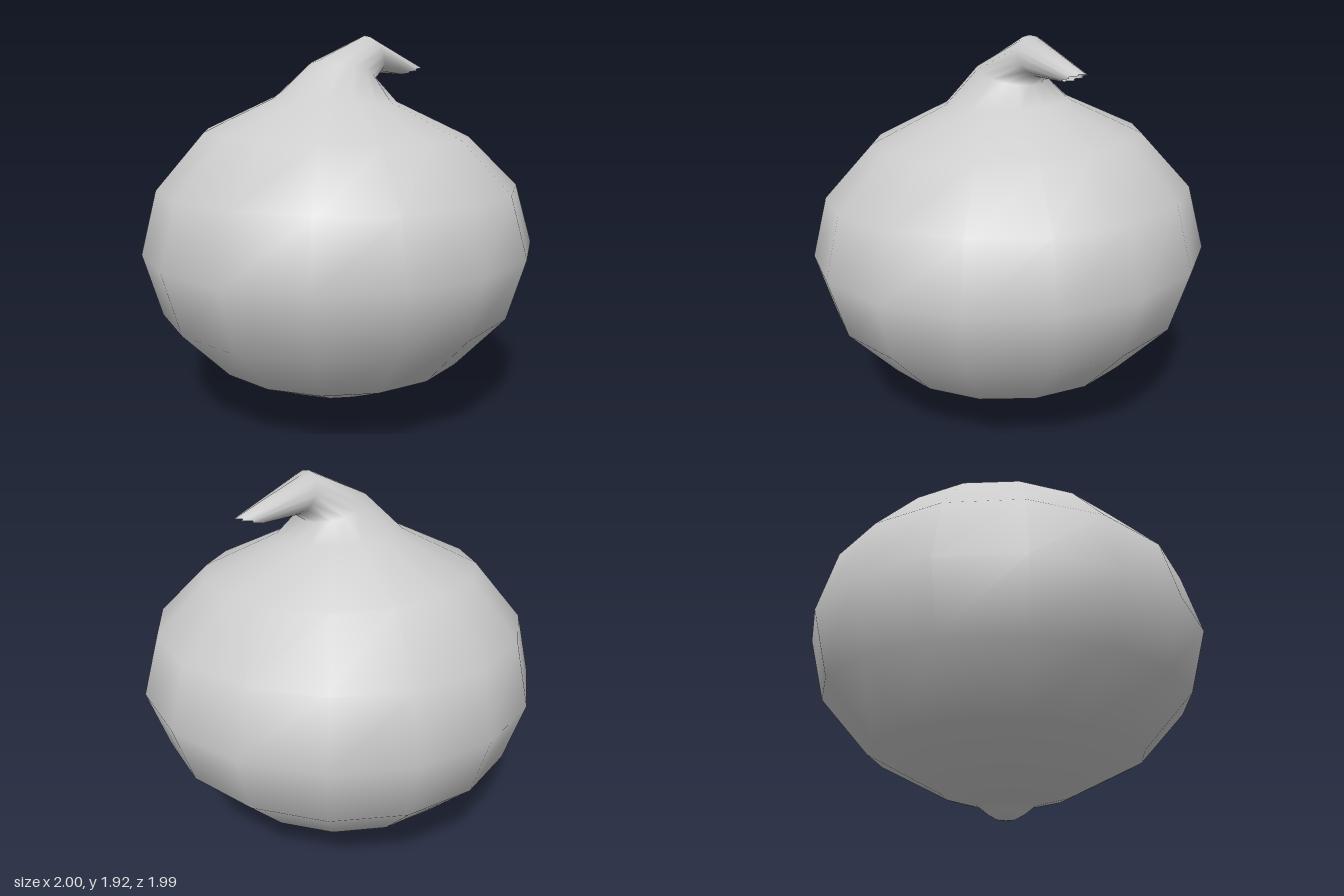
import * as THREE from 'three';

const SIDES = 16;
const material = new THREE.MeshStandardMaterial({ color: 0xcccccc, side: THREE.DoubleSide });

// Smooth skin lofted through tilted elliptical rings.
// Ring: [xLeft, yLeft, xRight, yRight, half depth in z, y drop towards +z, jag length]
function loft(rings) {
  const positions = [];
  const index = [];
  for (const [xl, yl, xr, yr, depth, drop = 0, jag = 0] of rings) {
    for (let j = 0; j < SIDES; j++) {
      const a = (j / SIDES) * Math.PI * 2;
      const c = Math.cos(a), s = Math.sin(a);
      positions.push(
        (xl + xr) / 2 + ((xr - xl) / 2) * c - (j % 2 ? jag : 0),
        (yl + yr) / 2 + ((yr - yl) / 2) * c - drop * s,
        depth * s
      );
    }
  }
  for (let i = 0; i < rings.length - 1; i++) {
    for (let j = 0; j < SIDES; j++) {
      const k = (j + 1) % SIDES;
      const a = i * SIDES + j, b = i * SIDES + k;
      const c = a + SIDES, d = b + SIDES;
      index.push(a, c, b, b, c, d);
    }
  }
  // close the root end
  const pole = positions.length / 3;
  positions.push(0, 0, 0);
  for (let j = 0; j < SIDES; j++) index.push(pole, j, (j + 1) % SIDES);

  const geometry = new THREE.BufferGeometry();
  geometry.setAttribute('position', new THREE.Float32BufferAttribute(positions, 3));
  geometry.setIndex(index);
  geometry.computeVertexNormals();
  return geometry;
}

export function createModel() {
  const group = new THREE.Group();
  group.name = 'onion';

  const rings = [
    // root nub
    [-0.05, 0.008, 0.05, 0.008, 0.05],
    [-0.09, 0.03, 0.09, 0.03, 0.09],
    [-0.14, 0.07, 0.14, 0.07, 0.14],
    // round bulb
    [-0.31, 0.105, 0.30, 0.115, 0.30],
    [-0.67, 0.28, 0.66, 0.305, 0.67],
    [-0.91, 0.53, 0.91, 0.585, 0.91],
    [-1.0, 0.84, 1.0, 0.89, 0.995, 0.01],
    [-0.92, 1.15, 0.91, 1.19, 0.915, 0.02],
    [-0.68, 1.425, 0.66, 1.435, 0.675, 0.03],
    [-0.32, 1.6, 0.3, 1.6, 0.305, 0.02],
    // neck bending over into the stalk
    [-0.13, 1.78, 0.2, 1.69, 0.175],
    [0.18, 1.92, 0.27, 1.735, 0.1],
    // ragged open tip
    [0.46, 1.728, 0.595, 1.772, 0.04, 0, 0.03],
  ];
  // the tip's upper edge reaches furthest, so swap its ends to keep the skin untwisted
  const tip = rings[rings.length - 1];
  [tip[0], tip[1], tip[2], tip[3]] = [tip[2], tip[3], tip[0], tip[1]];

  const skin = new THREE.Mesh(loft(rings), material);
  skin.name = 'onionBulbAndStalk';
  group.add(skin);
  return group;
}
